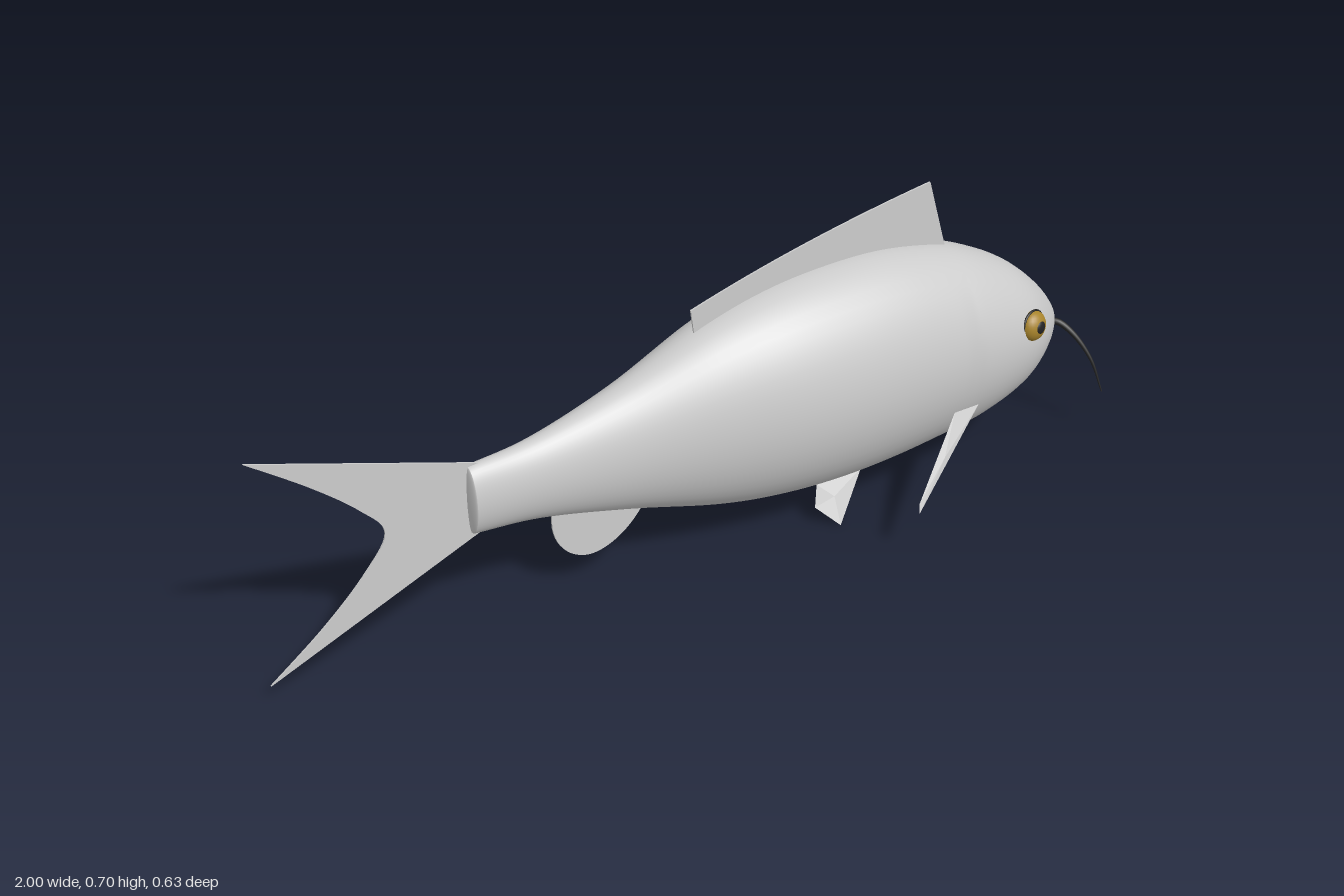
import * as THREE from 'three';

const mat = (color) => new THREE.MeshStandardMaterial({ color, side: THREE.DoubleSide });
const grey = mat(0xcccccc), gold = mat(0xa8842c), black = mat(0x222222);

function part(name, geometry, material = grey) {
  const mesh = new THREE.Mesh(geometry, material);
  mesh.name = name;
  return mesh;
}

// Stations along the fish: x, top, bottom, half width
const stations = [
  [-0.55, 0.388, 0.232, 0.036], [-0.4, 0.402, 0.215, 0.05], [-0.2, 0.455, 0.165, 0.085],
  [0, 0.53, 0.107, 0.135], [0.15, 0.567, 0.08, 0.166], [0.3, 0.58, 0.07, 0.18],
  [0.45, 0.575, 0.072, 0.18], [0.6, 0.545, 0.085, 0.172], [0.7, 0.507, 0.104, 0.164],
  [0.8, 0.45, 0.14, 0.14], [0.88, 0.38, 0.195, 0.092], [0.93, 0.315, 0.255, 0.04],
  [0.943, 0.288, 0.284, 0.002],
];

function bodyGeometry(rings = 96, sides = 48) {
  const heights = new THREE.CatmullRomCurve3(
    stations.map(([x, t, b]) => new THREE.Vector3(x, t, b)), false, 'catmullrom');
  const widths = new THREE.CatmullRomCurve3(
    stations.map((s) => new THREE.Vector3(s[3], 0, 0)), false, 'catmullrom');
  const pos = [], index = [];
  for (let i = 0; i <= rings; i++) {
    const h = heights.getPoint(i / rings), w = widths.getPoint(i / rings).x;
    const mid = (h.y + h.z) / 2, ry = (h.y - h.z) / 2;
    for (let j = 0; j < sides; j++) {
      const a = (j / sides) * Math.PI * 2;
      // shallow gill crease on the flanks
      const crease = 1 - 0.035 * Math.exp(-(((h.x - 0.6) / 0.014) ** 2)) * Math.sin(a) ** 4;
      pos.push(h.x, mid + Math.cos(a) * ry, Math.sin(a) * w * crease);
      if (i < rings) {
        const p = i * sides + j, q = i * sides + (j + 1) % sides;
        index.push(p, q, p + sides, q, q + sides, p + sides);
      }
    }
  }
  const g = new THREE.BufferGeometry();
  g.setAttribute('position', new THREE.Float32BufferAttribute(pos, 3));
  g.setIndex(index);
  g.computeVertexNormals();
  return g;
}

// Thin upright fin in the middle plane
function flatFin(name, shape) {
  const depth = 0.004;
  const g = new THREE.ExtrudeGeometry(shape, { depth, bevelEnabled: false, curveSegments: 16 });
  return part(name, g.translate(0, 0, -depth / 2));
}

// Paired fin: a thin four-cornered blade, raised along its middle
function blade(name, corners, thickness) {
  const c = corners.map((p) => new THREE.Vector3(...p));
  const mid = c.reduce((s, p) => s.add(p), new THREE.Vector3()).divideScalar(c.length);
  const n = c[2].clone().sub(c[0]).cross(c[3].clone().sub(c[1])).normalize();
  const pts = [];
  for (const s of [1, -1]) {
    const apex = mid.clone().addScaledVector(n, s * thickness / 2);
    c.forEach((p, i) => {
      const q = c[(i + 1) % c.length];
      pts.push(apex, ...(s > 0 ? [p, q] : [q, p]));
    });
  }
  const g = new THREE.BufferGeometry().setFromPoints(pts);
  g.computeVertexNormals();
  return part(name, g);
}

// Tube that narrows towards its end
function taperedTube(points, r0, r1) {
  const curve = new THREE.CatmullRomCurve3(points.map((p) => new THREE.Vector3(...p)));
  const rings = 24, sides = 8;
  const g = new THREE.TubeGeometry(curve, rings, 1, sides);
  const pos = g.attributes.position, v = new THREE.Vector3();
  for (let i = 0; i < pos.count; i++) {
    const t = Math.floor(i / (sides + 1)) / rings, c = curve.getPointAt(t);
    v.fromBufferAttribute(pos, i).sub(c).multiplyScalar(r0 + (r1 - r0) * t).add(c);
    pos.setXYZ(i, v.x, v.y, v.z);
  }
  return g;
}

export function createModel() {
  const fish = new THREE.Group();
  fish.name = 'fish';
  fish.add(part('body', bodyGeometry()));

  // Closed end of the tail stem
  const stem = part('tailStemEnd', new THREE.SphereGeometry(1, 32, 12));
  stem.scale.set(0.007, 0.078, 0.036);
  stem.position.set(-0.549, 0.31, 0);
  fish.add(stem);

  // Forked tail
  const tail = new THREE.Shape();
  tail.moveTo(-0.5, 0.38);
  tail.lineTo(-1, 0.555);
  tail.splineThru([[-0.88, 0.462], [-0.785, 0.375], [-0.735, 0.303], [-0.785, 0.225],
    [-0.88, 0.135], [-1, 0.045]].map((p) => new THREE.Vector2(...p)));
  tail.lineTo(-0.5, 0.24);
  fish.add(flatFin('tailFin', tail));

  // Long back fin
  const dorsal = new THREE.Shape();
  dorsal.moveTo(-0.02, 0.5);
  dorsal.lineTo(-0.03, 0.575);
  dorsal.quadraticCurveTo(0.24, 0.655, 0.575, 0.7);
  dorsal.lineTo(0.63, 0.52);
  fish.add(flatFin('dorsalFin', dorsal));

  // Rounded fin under the tail stem
  const anal = new THREE.Shape();
  anal.moveTo(-0.365, 0.22);
  anal.bezierCurveTo(-0.385, 0.13, -0.32, 0.07, -0.265, 0.076);
  anal.bezierCurveTo(-0.21, 0.082, -0.165, 0.125, -0.14, 0.17);
  fish.add(flatFin('analFin', anal));

  // Paired parts; s = 1 is the +z side
  for (const s of [1, -1]) {
    const side = new THREE.Group();
    side.name = s > 0 ? 'frontSide' : 'backSide';

    side.add(blade('pectoralFin', [[0.62, 0.213, 0.155 * s], [0.54, 0.226, 0.17 * s],
      [0.345, 0.135, 0.302 * s], [0.335, 0.12, 0.315 * s]], 0.008));
    side.add(blade('pelvicFin', [[0.37, 0.09, 0.068 * s], [0.25, 0.09, 0.068 * s],
      [0.235, 0.045, 0.085 * s], [0.28, 0.002, 0.12 * s]], 0.01));

    // Eye with rim and pupil, turned slightly forward
    const eye = new THREE.Group();
    eye.name = 'eye';
    const iris = part('iris', new THREE.SphereGeometry(0.034, 24, 16), gold);
    iris.scale.z = 0.7;
    const rim = part('eyeRim', new THREE.TorusGeometry(0.034, 0.003, 8, 32), black);
    const pupil = part('pupil', new THREE.SphereGeometry(0.015, 16, 12), black);
    pupil.scale.z = 0.4;
    pupil.position.z = 0.0195 * s;
    eye.add(iris, rim, pupil);
    eye.position.set(0.776, 0.354, 0.139 * s);
    eye.rotation.set(-0.15 * s, 0.22 * s, 0);
    side.add(eye);

    // Whisker curving out and down from the mouth
    side.add(part('barbel', taperedTube([[0.915, 0.272, 0.035 * s], [0.932, 0.274, 0.05 * s],
      [0.955, 0.25, 0.08 * s], [0.982, 0.192, 0.118 * s], [0.999, 0.115, 0.146 * s]],
    0.009, 0.0015), black));
    fish.add(side);
  }
  return fish;
}
